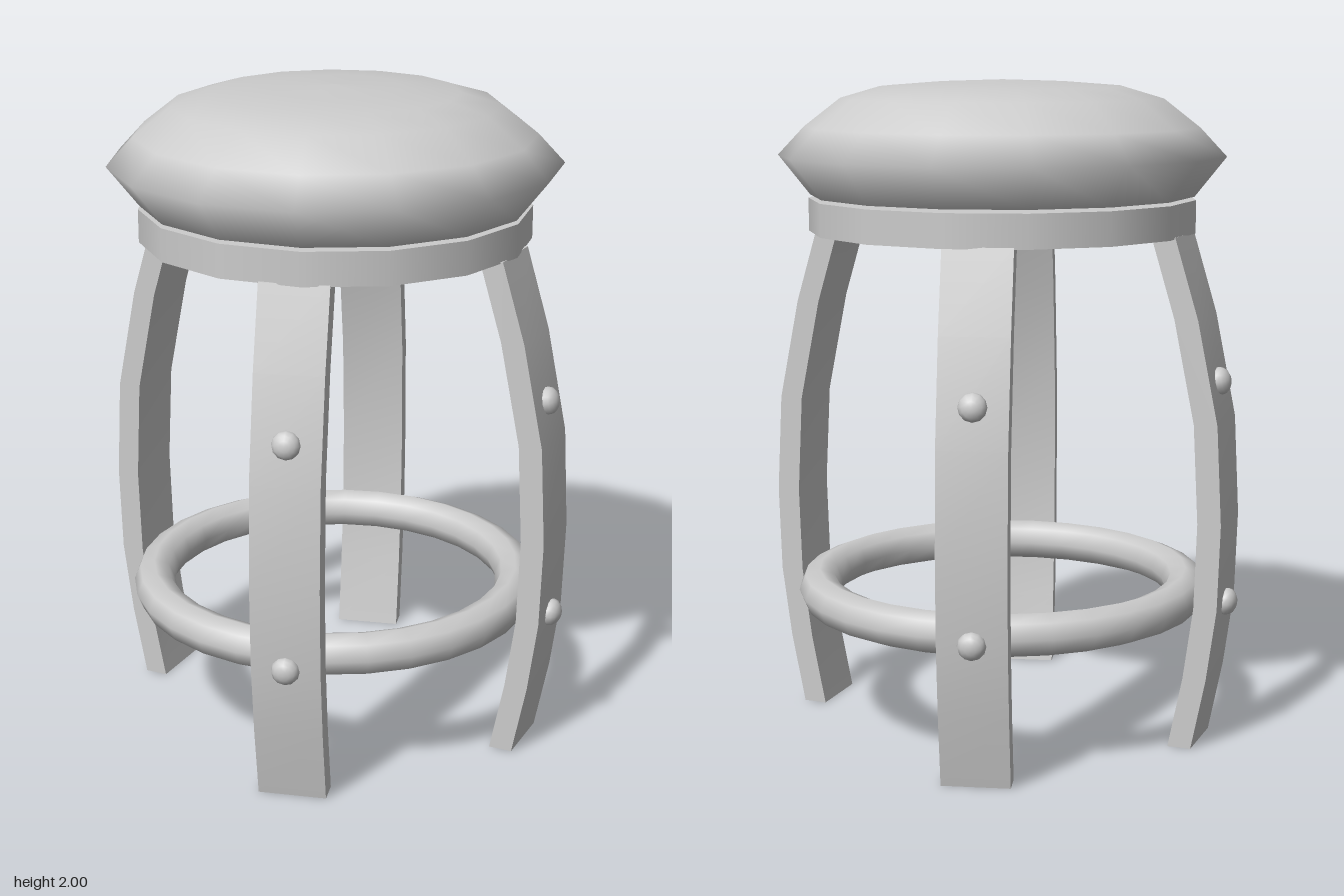
import * as THREE from 'three';
import { toCreasedNormals } from 'three/addons/utils/BufferGeometryUtils.js';

export function createModel() {
  const stool = new THREE.Group();
  stool.name = 'stool';
  const material = new THREE.MeshStandardMaterial({ color: 0xcccccc });
  const add = (parent, name, geometry) => {
    const mesh = new THREE.Mesh(geometry, material);
    mesh.name = name;
    parent.add(mesh);
    return mesh;
  };

  const SIDES = 15;

  // Padded cushion: smooth lathe with a closed underside
  const cushion = new THREE.Group();
  cushion.name = 'cushion';
  cushion.rotation.y = Math.PI;
  stool.add(cushion);
  const cushionProfile = [
    [0.585, 1.655], [0.68, 1.775], [0.6, 1.86], [0.49, 1.945], [0.37, 1.98], [0.2, 1.993], [0, 2],
  ].map(([r, y]) => new THREE.Vector2(r, y));
  add(cushion, 'cushionPad', new THREE.LatheGeometry(cushionProfile, SIDES));
  add(cushion, 'cushionUnderside', new THREE.CylinderGeometry(0.585, 0.585, 0.002, SIDES)).position.y = 1.656;

  // Round board under the cushion
  const board = add(stool, 'seatBoard', new THREE.CylinderGeometry(0.59, 0.59, 0.1, SIDES));
  board.position.y = 1.595;
  board.rotation.y = Math.PI;

  // Foot ring held between the legs
  const ring = add(stool, 'footRing', new THREE.TorusGeometry(0.573, 0.064, 8, 30));
  ring.rotation.x = Math.PI / 2;
  ring.position.y = 0.432;

  // Bowed leg: side profile (radius, height) extruded across its width
  const WIDTH = 0.204, THICK = 0.072;
  const outer = [
    [0.648, 0], [0.692, 0.22], [0.722, 0.44], [0.73, 0.7], [0.714, 1], [0.65, 1.31], [0.577, 1.55],
  ];
  const inner = outer.map(([r, y]) => [r - THICK, y]).reverse();
  const shape = new THREE.Shape([...outer, ...inner].map(([r, y]) => new THREE.Vector2(r, y)));
  const legGeometry = new THREE.ExtrudeGeometry(shape, { depth: WIDTH, bevelEnabled: false });
  legGeometry.translate(0, 0, -WIDTH / 2);
  legGeometry.rotateY(-Math.PI / 2); // radius now runs along +z
  const legSmooth = toCreasedNormals(legGeometry, 0.6);

  // Flattened round bolt head
  const boltGeometry = new THREE.SphereGeometry(0.042, 12, 8);
  boltGeometry.rotateX(Math.PI / 2);
  boltGeometry.scale(1, 1, 0.75);

  const spread = THREE.MathUtils.degToRad(38);
  const legs = {
    frontLeftLeg: spread,
    frontRightLeg: -spread,
    backLeftLeg: Math.PI - spread,
    backRightLeg: Math.PI + spread,
  };
  for (const [name, angle] of Object.entries(legs)) {
    const leg = new THREE.Group();
    leg.name = name;
    leg.rotation.y = angle;
    stool.add(leg);
    add(leg, 'legPost', legSmooth);
    for (const [label, y, r, tilt] of [['upperBolt', 1.12, 0.694, -0.2], ['lowerBolt', 0.445, 0.726, 0.08]]) {
      const bolt = add(leg, label, boltGeometry);
      bolt.position.set(0, y, r);
      bolt.rotation.x = tilt;
    }
  }

  return stool;
}
